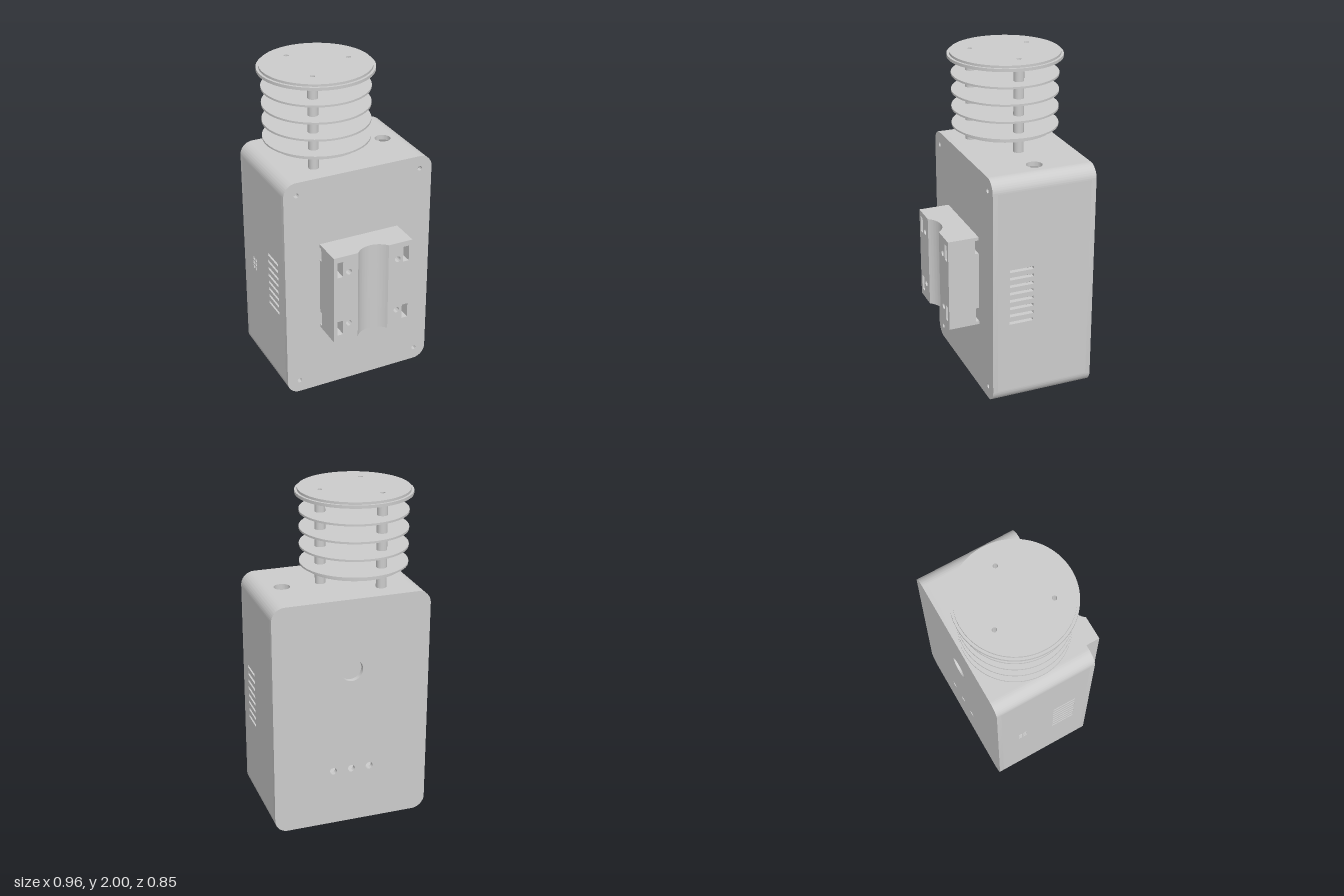
import * as THREE from 'three';
import { toCreasedNormals } from 'three/addons/utils/BufferGeometryUtils.js';

const material = new THREE.MeshStandardMaterial({ color: 0xcccccc });

const W = 0.48, H = 1.44, BACK = -0.405, FRONT = 0.235; // case extents
const R = 0.08, T = 0.03;                               // corner radius, wall thickness
const ZB = BACK + T, ZF = FRONT - T;                    // span between front and back panels

// Outline helpers
function rect(x0, y0, x1, y1) {
  return new THREE.Shape([[x0, y0], [x1, y0], [x1, y1], [x0, y1]].map(p => new THREE.Vector2(...p)));
}
function circle(x, y, r) {
  return new THREE.Shape().absarc(x, y, r, 0, Math.PI * 2, false);
}
function roundedRect(w, h, r) {
  const s = new THREE.Shape();
  s.absarc(w - r, r, r, -Math.PI / 2, 0, false);
  s.absarc(w - r, h - r, r, 0, Math.PI / 2, false);
  s.absarc(r - w, h - r, r, Math.PI / 2, Math.PI, false);
  s.absarc(r - w, r, r, Math.PI, Math.PI * 1.5, false);
  s.closePath();
  return s;
}

// Extruded plate with holes, smooth on curves and sharp on edges
function plate(name, outline, holes, depth, curveSegments = 16) {
  outline.holes.push(...holes);
  const geo = new THREE.ExtrudeGeometry(outline, { depth, bevelEnabled: false, curveSegments });
  const mesh = new THREE.Mesh(toCreasedNormals(geo, 0.6), material);
  mesh.name = name;
  return mesh;
}
// Plate lying flat: outline is (x, -z), thickness rises from y
function flatPlate(name, outline, holes, y, depth, segments) {
  const mesh = plate(name, outline, holes, depth, segments);
  mesh.rotation.x = -Math.PI / 2;
  mesh.position.y = y;
  return mesh;
}
// Plate facing sideways: outline is (-z, y), thickness runs from x
function sidePlate(name, outline, holes, x, depth) {
  const mesh = plate(name, outline, holes, depth);
  mesh.rotation.y = Math.PI / 2;
  mesh.position.x = x;
  return mesh;
}

const posts = [[-0.225, -0.265], [-0.225, 0.095], [0.087, -0.085]];
const postHoles = () => posts.map(([x, z]) => circle(x, -z, 0.014));

function createCase() {
  const g = new THREE.Group();
  g.name = 'case';

  // Front panel with corner screw holes
  const screws = [-0.4, 0.4].flatMap(x => [0.08, 1.36].map(y => circle(x, y, 0.015)));
  const front = plate('frontPanel', roundedRect(W, H, R), screws, T);
  front.position.z = ZF;

  // Back panel with a large port and three small ones
  const ports = [-0.114, 0, 0.114].map(x => circle(x, 0.355, 0.022));
  const back = plate('backPanel', roundedRect(W, H, R), [circle(0, 1.0, 0.068), ...ports], T);
  back.position.z = BACK;
  g.add(front, back);

  // Side walls with vent slots
  const vents = () => Array.from({ length: 8 }, (_, i) => {
    const y = 0.532 + i * 0.0483;
    return rect(-0.13, y - 0.009, 0.02, y + 0.009);
  });
  const grille = [];
  for (const z of [-0.25, -0.218])
    for (const y of [0.66, 0.69, 0.72]) grille.push(rect(-z - 0.011, y - 0.011, -z + 0.011, y + 0.011));
  const wall = () => rect(-ZF, R, -ZB, H - R);
  g.add(sidePlate('leftWall', wall(), vents(), W - T, T));
  g.add(sidePlate('rightWall', wall(), [...vents(), ...grille], -W, T));

  // Top and bottom walls with openings
  const deck = () => rect(R - W, -ZF, W - R, -ZB);
  g.add(flatPlate('topWall', deck(), [circle(0.32, 0.085, 0.048), ...postHoles()], H - T, T));
  g.add(flatPlate('bottomWall', deck(),
    [circle(0.23, 0.05, 0.045), rect(-0.235, 0.0, -0.125, 0.07)], 0, T));

  // Rounded corners joining the walls
  [[1, 1], [-1, 1], [-1, -1], [1, -1]].forEach(([sx, sy], i) => {
    const s = new THREE.Shape();
    s.absarc(0, 0, R, 0, Math.PI / 2, false);
    s.absarc(0, 0, R - T, Math.PI / 2, 0, true);
    s.closePath();
    const corner = plate('caseCorner', s, [], ZF - ZB);
    corner.rotation.z = i * Math.PI / 2;
    corner.position.set(sx * (W - R), sy > 0 ? H - R : R, ZB);
    g.add(corner);
  });
  return g;
}

function createShield() {
  const g = new THREE.Group();
  g.name = 'louvreStack';
  // Discs: radius, base height, thickness
  const discs = [
    ['lowerDisc', 0.285, 1.527, 0.023], ['louvre', 0.32, 1.55, 0.011],
    ['louvre', 0.32, 1.654, 0.012], ['louvre', 0.32, 1.757, 0.012], ['louvre', 0.32, 1.86, 0.012],
    ['capRim', 0.343, 1.968, 0.018], ['capTop', 0.328, 1.986, 0.014],
  ];
  for (const [name, r, y, t] of discs)
    g.add(flatPlate(name, circle(-0.12, 0.085, r), postHoles(), y, t, 40));
  // Hollow posts
  for (const [x, z] of posts)
    g.add(flatPlate('post', circle(x, -z, 0.031), [circle(x, -z, 0.014)], H, 1.968 - H));
  return g;
}

function createMount() {
  const g = new THREE.Group();
  g.name = 'poleMount';
  const y0 = 0.435, y1 = 1.01, zMid = 0.257, zFront = 0.425, w = 0.257;

  // Centre block with the curved pole groove
  const a = Math.asin(0.1 / 0.125);
  const s = new THREE.Shape();
  s.moveTo(-0.1, -zFront);
  s.absarc(0, -0.5, 0.125, Math.PI / 2 + a, Math.PI / 2 - a, true);
  s.lineTo(0.1, -zMid);
  s.lineTo(-0.1, -zMid);
  s.closePath();
  g.add(flatPlate('grooveBlock', s, [], y0, y1 - y0));

  // Side blocks with screw holes and strap slots
  for (const side of [-1, 1]) {
    const box = (xa, ya, xb, yb) => rect(Math.min(side * xa, side * xb), ya, Math.max(side * xa, side * xb), yb);
    const holes = [
      circle(side * 0.16, 0.9, 0.019), circle(side * 0.16, 0.547, 0.019),
      box(0.197, 0.875, 0.235, 0.975), box(0.197, 0.478, 0.235, 0.573),
    ];
    const block = plate('clampBlock', box(0.1, y0, w, y1), holes, zFront - zMid);
    block.position.z = zMid;
    g.add(block);
  }

  // Backing strips leaving two strap channels
  for (const [ya, yb] of [[y0, 0.455], [0.545, 0.905], [0.99, y1]]) {
    const strip = plate('backingStrip', rect(-w, ya, w, yb), [], zMid - FRONT);
    strip.position.z = FRONT;
    g.add(strip);
  }
  return g;
}

export function createModel() {
  const model = new THREE.Group();
  model.name = 'sensorStation';
  model.add(createCase(), createShield(), createMount());
  return model;
}
